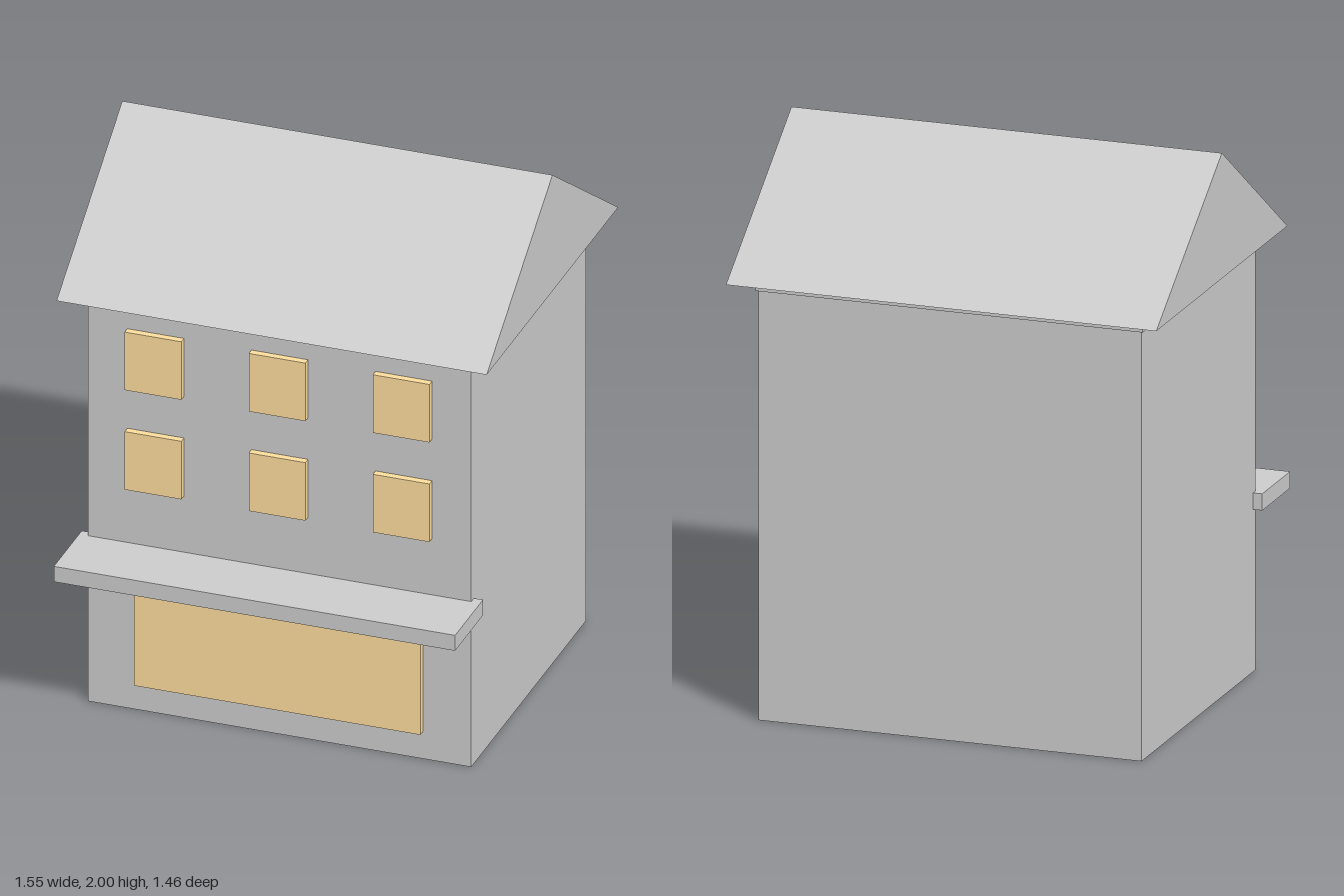
import * as THREE from 'three';

const wallMat = new THREE.MeshStandardMaterial({ color: 0xcccccc });
const glassMat = new THREE.MeshStandardMaterial({ color: 0xfbdc9c });

// Box given by its min/max extents on each axis
function block(name, [x0, x1], [y0, y1], [z0, z1], material = wallMat) {
  const mesh = new THREE.Mesh(new THREE.BoxGeometry(x1 - x0, y1 - y0, z1 - z0), material);
  mesh.position.set((x0 + x1) / 2, (y0 + y1) / 2, (z0 + z1) / 2);
  mesh.name = name;
  return mesh;
}

// Triangular prism with its ridge along x
function gableRoof(halfWidth, eaveY, ridgeY, zBack, zFront) {
  const shape = new THREE.Shape();
  shape.moveTo(-zFront, eaveY);
  shape.lineTo(-zBack, eaveY);
  shape.lineTo(-(zBack + zFront) / 2, ridgeY);
  shape.closePath();
  const geometry = new THREE.ExtrudeGeometry(shape, { depth: halfWidth * 2, bevelEnabled: false });
  geometry.translate(0, 0, -halfWidth);
  geometry.rotateY(Math.PI / 2); // shape x becomes -z, depth becomes x
  const mesh = new THREE.Mesh(geometry, wallMat);
  mesh.name = 'roof';
  return mesh;
}

export function createModel() {
  const model = new THREE.Group();
  model.name = 'shopHouse';

  // Walls, cornice and roof
  model.add(block('walls', [-0.69, 0.69], [0, 1.52], [-0.642, 0.481]));
  model.add(block('cornice', [-0.697, 0.697], [1.52, 1.556], [-0.65, 0.49]));
  model.add(gableRoof(0.775, 1.556, 2, -0.729, 0.561));

  // Shop front with its awning
  const glassZ = [0.455, 0.507];
  model.add(block('shopWindow', [-0.516, 0.516], [0.104, 0.518], glassZ, glassMat));
  model.add(block('awning', [-0.723, 0.723], [0.574, 0.633], [0.455, 0.729]));

  // Two rows of three upper windows
  const windows = new THREE.Group();
  windows.name = 'upperWindows';
  for (const y of [0.848, 1.229]) {
    for (const x of [-0.447, 0, 0.447]) {
      windows.add(block('window', [x - 0.102, x + 0.102], [y, y + 0.222], glassZ, glassMat));
    }
  }
  model.add(windows);
  return model;
}
